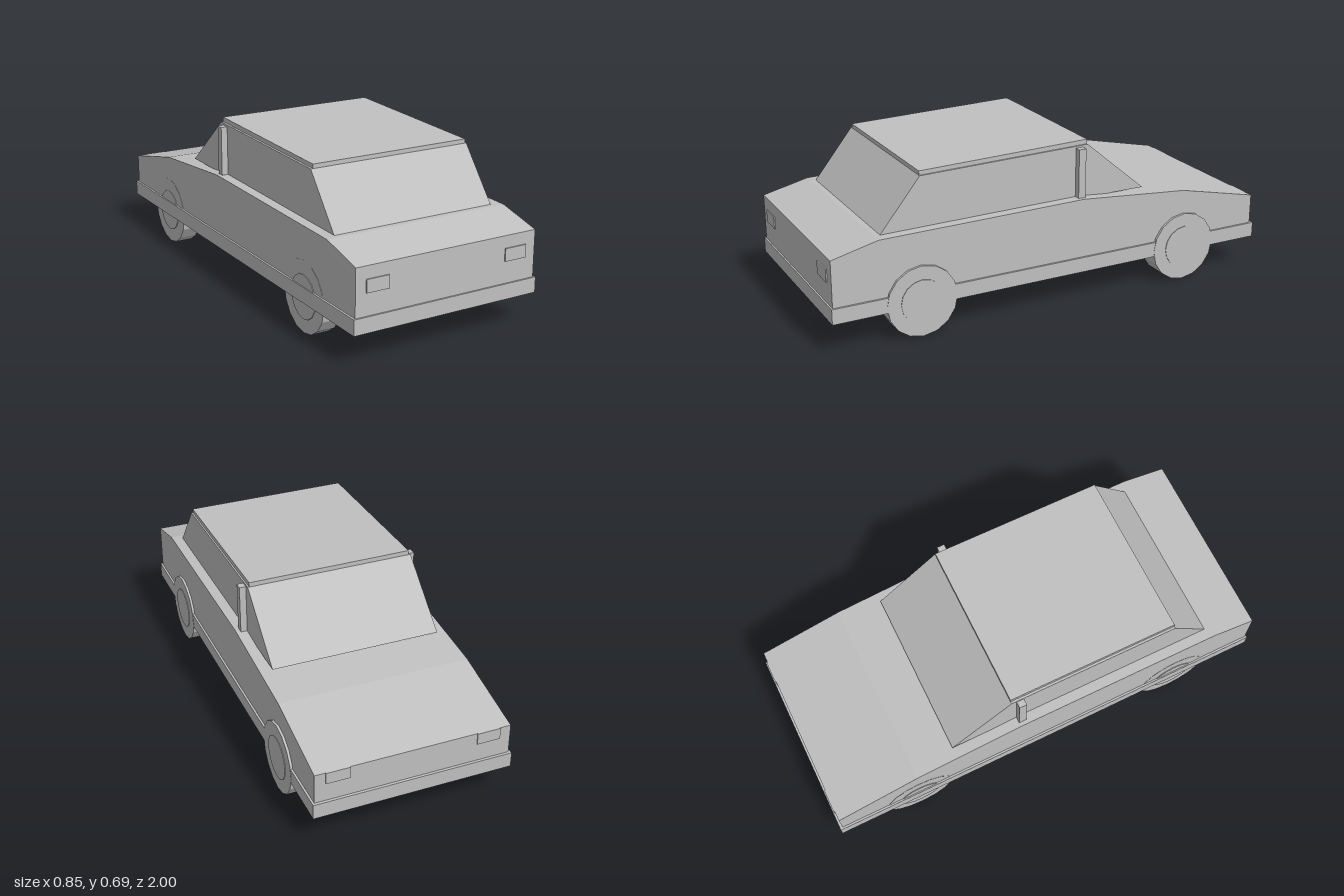
import * as THREE from 'three';

const paint = new THREE.MeshStandardMaterial({ color: 0xc0c0c0 });
paint.name = 'lightGrey';

function add(parent, name, geometry) {
  const mesh = new THREE.Mesh(geometry, paint);
  mesh.name = name;
  parent.add(mesh);
  return mesh;
}

// Side profile given as [z, y] points, extruded from x0 to x1
function profile(points, x0, x1) {
  const shape = new THREE.Shape(points.map(([z, y]) => new THREE.Vector2(z, y)));
  const geometry = new THREE.ExtrudeGeometry(shape, { depth: x1 - x0, bevelEnabled: false });
  return geometry.rotateY(-Math.PI / 2).translate(x1, 0, 0);
}

// Box given by its limits on each axis
function box(x0, x1, y0, y1, z0, z1) {
  return new THREE.BoxGeometry(x1 - x0, y1 - y0, z1 - z0)
    .translate((x0 + x1) / 2, (y0 + y1) / 2, (z0 + z1) / 2);
}

// Faceted disc lying across the car
function disc(radius, x0, x1, y, z) {
  const geometry = new THREE.CylinderGeometry(radius, radius, x1 - x0, 16)
    .rotateZ(Math.PI / 2).translate((x0 + x1) / 2, y, z).toNonIndexed();
  geometry.computeVertexNormals();
  return geometry;
}

export function createModel() {
  const car = new THREE.Group();
  car.name = 'car';

  // Wedge-nosed body over a wider lower skirt
  add(car, 'body', profile([
    [0.993, 0.19], [0.993, 0.393], [0.795, 0.44], [-0.12, 0.452],
    [-0.62, 0.408], [-0.988, 0.325], [-0.988, 0.19],
  ], -0.416, 0.412));
  add(car, 'lowerSkirt', box(-0.425, 0.421, 0.13, 0.195, -1, 1));

  // Cabin with sloping front and rear windows, and its roof panel
  add(car, 'cabin', profile([
    [0.77, 0.44], [0.597, 0.655], [-0.16, 0.672], [-0.435, 0.44],
  ], -0.37, 0.365));
  add(car, 'roof', profile([
    [0.597, 0.655], [0.597, 0.673], [-0.16, 0.692], [-0.16, 0.672],
  ], -0.36, 0.358));

  // Door pillars
  add(car, 'rightPillar', box(-0.398, -0.36, 0.445, 0.663, -0.137, -0.104));
  add(car, 'leftPillar', box(0.355, 0.393, 0.445, 0.663, -0.137, -0.104));

  // Head and tail lights
  for (const [side, x] of [['right', -0.37], ['left', 0.266]]) {
    add(car, side + 'Headlight', box(x, x + 0.1, 0.287, 0.341, 0.991, 0.998));
    add(car, side + 'TailLight', box(x, x + 0.1, 0.275, 0.325, -0.992, -0.985));
  }

  // Wheels with hub plates
  for (const [end, z] of [['front', 0.621], ['rear', -0.623]]) {
    add(car, end + 'RightWheel', disc(0.152, -0.417, -0.34, 0.152, z));
    add(car, end + 'RightHub', disc(0.093, -0.42, -0.412, 0.152, z));
    add(car, end + 'LeftWheel', disc(0.152, 0.321, 0.4225, 0.152, z));
    add(car, end + 'LeftHub', disc(0.093, 0.418, 0.425, 0.152, z));
  }
  return car;
}
